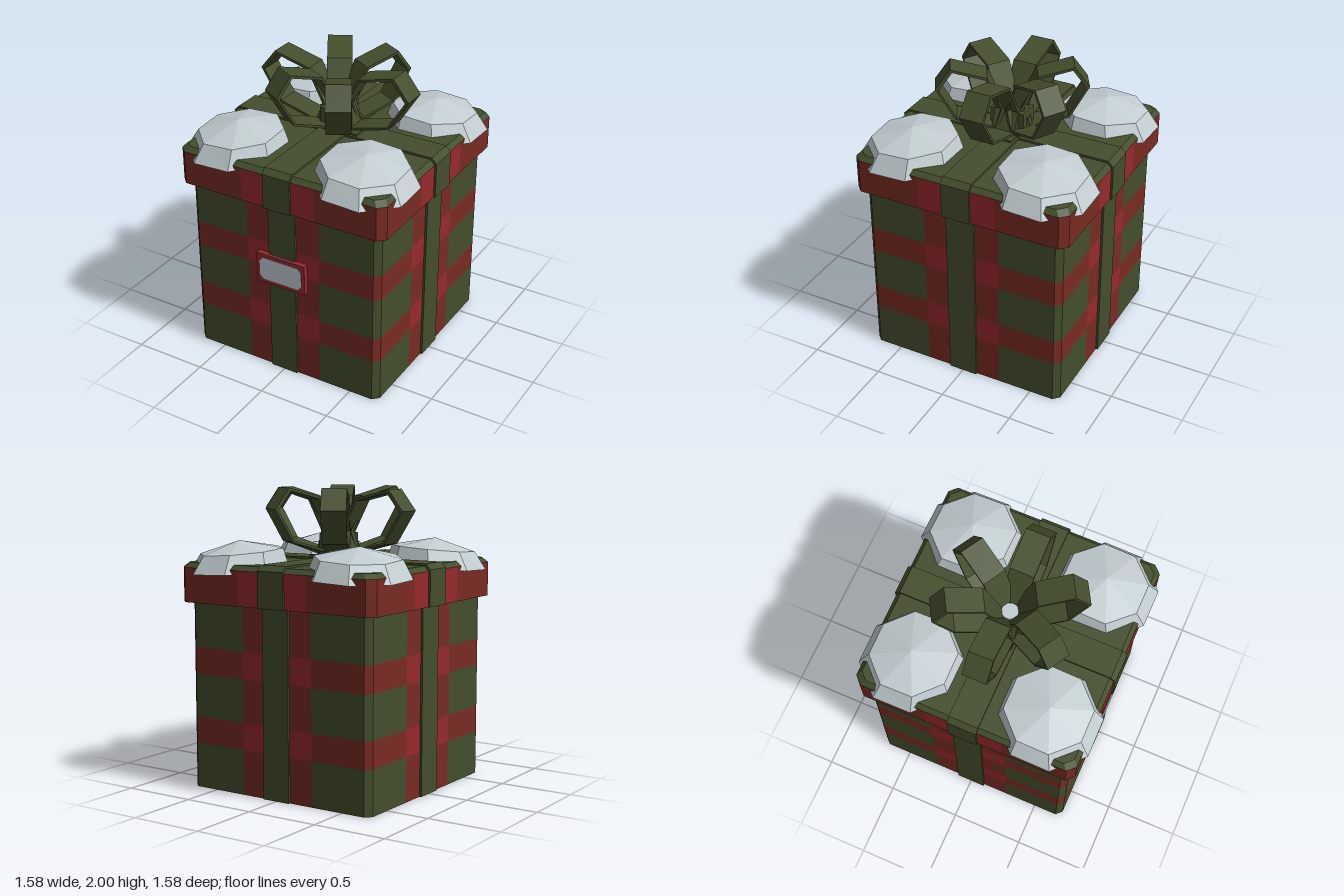
import * as THREE from 'three';

const mat = (name, color) => {
  const m = new THREE.MeshStandardMaterial({ color });
  m.name = name;
  return m;
};

export function createModel() {
  const green = mat('green', 0x444e2d);
  const darkRed = mat('darkRed', 0x792b23);
  const brightRed = mat('brightRed', 0x96292e);
  const snow = mat('snow', 0xc3ced2);
  const root = new THREE.Group();

  const add = (parent, name, geometry, material) => {
    const mesh = new THREE.Mesh(geometry, material);
    mesh.name = name;
    parent.add(mesh);
    return mesh;
  };
  const box = (parent, name, w, h, d, x, y, z, material = green) =>
    add(parent, name, new THREE.BoxGeometry(w, h, d), material).position.set(x, y, z);
  const group = (name) => {
    const g = new THREE.Group();
    g.name = name;
    root.add(g);
    return g;
  };
  const flat = (points) => {
    const g = new THREE.BufferGeometry().setFromPoints(points);
    g.computeVertexNormals();
    return g;
  };
  const outline = (points) => points.map(([x, y]) => new THREE.Vector2(x, y));
  const extrude = (shape, depth) =>
    new THREE.ExtrudeGeometry(shape, { depth, bevelEnabled: false }).translate(0, 0, -depth / 2);
  const UP = new THREE.Vector3(0, 1, 0);
  const V = (x, y, z) => new THREE.Vector3(x, y, z);

  // Square box with chamfered corners; rows are [y, half width, banded above, no stripes]
  function plaidBox(name, rows, chamfer) {
    const g = group(name);
    const faces = new Map([[green, []], [darkRed, []], [brightRed, []]]);
    const edge = (h, y, k) => [
      ...[chamfer - h, -0.27, -0.1, 0.1, 0.27, h - chamfer].map((u) => V(u, y, h)),
      V(h, y, h - chamfer),
    ].map((p) => p.applyAxisAngle(UP, k * Math.PI / 2));
    for (let k = 0; k < 4; k++) {
      for (let r = 0; r + 1 < rows.length; r++) {
        const [y0, h0, band, plain] = rows[r];
        const [y1, h1] = rows[r + 1];
        const lo = edge(h0, y0, k);
        const hi = edge(h1, y1, k);
        for (let c = 0; c < 6; c++) {
          const stripe = !plain && (c === 1 || c === 3);
          const m = band && stripe ? brightRed : band || stripe ? darkRed : green;
          faces.get(m).push(lo[c], lo[c + 1], hi[c + 1], lo[c], hi[c + 1], hi[c]);
        }
      }
      // Bottom and top caps
      const [yb, hb] = rows[0];
      const [yt, ht] = rows[rows.length - 1];
      const b = edge(hb, yb, k);
      const t = edge(ht, yt, k);
      for (const [i, j] of [[0, 5], [5, 6]]) {
        faces.get(green).push(V(0, yb, 0), b[j], b[i], V(0, yt, 0), t[i], t[j]);
      }
    }
    for (const [m, pts] of faces) add(g, name + ' ' + m.name, flat(pts), m);
  }

  const B = 0.705;
  plaidBox('box', [[0, B, false], [0.3, B, true], [0.48, B, false], [0.77, B, true],
    [0.95, B, false], [1.244, B, false]], 0.04);
  plaidBox('lid', [[1.25, 0.757, true], [1.48, 0.757, false, true], [1.512, 0.727]], 0.05);

  // Ribbons down the four sides, and two crossing bands that follow the lid
  const ribbons = group('ribbons');
  const bandShape = new THREE.Shape(outline([[-0.77, 1.25], [0.77, 1.25], [0.77, 1.49],
    [0.735, 1.526], [-0.735, 1.526], [-0.77, 1.49]]));
  const bandGeometry = extrude(bandShape, 0.2);
  for (let k = 0; k < 4; k++) {
    const side = new THREE.Group();
    side.name = 'sideRibbon';
    side.rotation.y = k * Math.PI / 2;
    box(side, 'boxRibbon', 0.2, 1.244, 0.03, 0, 0.622, 0.704);
    ribbons.add(side);
  }
  add(ribbons, 'lidRibbonAcross', bandGeometry, green);
  add(ribbons, 'lidRibbonAlong', bandGeometry, green).rotation.y = Math.PI / 2;

  // Bow: six ribbon loops round a knot; the hole runs opposite to the outline
  const bow = group('bow');
  const profile = [[0.055, 1.69], [0.18, 1.925], [0.44, 1.99], [0.55, 1.85], [0.41, 1.63], [0.11, 1.55]];
  const loopGeometry = (scale, lift) => {
    const outer = outline(profile.map(([r, y]) => [r * scale, y + lift]));
    const mid = new THREE.Vector2(0.3 * scale, 1.77 + lift);
    const shape = new THREE.Shape(outer);
    shape.holes.push(new THREE.Path(outer.map((p) => p.clone().lerp(mid, 0.1)).reverse()));
    return extrude(shape, 0.165);
  };
  const sideLoop = loopGeometry(1, 0);
  const diagonalLoop = loopGeometry(0.9, 0.01);
  for (let i = 0; i < 6; i++) {
    add(bow, 'bowLoop', i % 3 ? diagonalLoop : sideLoop, green).rotation.y = i * Math.PI / 3;
  }
  box(bow, 'knot', 0.15, 0.14, 0.24, 0, 1.62, 0);
  box(bow, 'knotBase', 0.2, 0.04, 0.2, 0, 1.54, 0);
  box(bow, 'knotPlate', 0.36, 0.02, 0.17, 0, 1.53, 0);
  add(bow, 'knotButton', new THREE.CylinderGeometry(0.055, 0.055, 0.02, 24), snow).position.y = 1.695;

  // Snow caps: eight-sided domes tilted outwards over the lid corners
  const caps = group('snowCaps');
  for (const sx of [-1, 1]) for (const sz of [-1, 1]) {
    const ring = (centre, apothem, y, tilt) => Array.from({ length: 9 }, (_, i) => {
      const a = (i + 0.5) * Math.PI / 4;
      const r = apothem / Math.cos(Math.PI / 8);
      const dx = r * Math.cos(a), dz = r * Math.sin(a);
      return V(sx * centre + dx, y - tilt * (sx * dx + sz * dz), sz * centre + dz);
    });
    const base = ring(0.475, 0.317, 1.455, 0.04);
    const shoulder = ring(0.463, 0.262, 1.58, 0.06);
    const apex = V(sx * 0.475, 1.65, sz * 0.47);
    const pts = [];
    for (let i = 0; i < 8; i++) {
      const a = base[i], b = base[i + 1], c = shoulder[i + 1], d = shoulder[i];
      pts.push(a, c, b, a, d, c, d, apex, c, a, b, V(sx * 0.475, 1.455, sz * 0.475));
    }
    add(caps, 'snowCap', flat(pts), snow);
  }

  // Gift tag on the front ribbon
  const tag = group('tag');
  box(tag, 'tagFrame', 0.365, 0.215, 0.04, 0, 0.775, 0.721, brightRed);
  const w = 0.157, h = 0.08, c = 0.026;
  const label = new THREE.Shape(outline([[-w, c - h], [c - w, -h], [w - c, -h], [w, c - h],
    [w, h - c], [w - c, h], [c - w, h], [-w, h - c]]));
  add(tag, 'tagLabel', extrude(label, 0.006), snow).position.set(0, 0.775, 0.741);

  return root;
}
